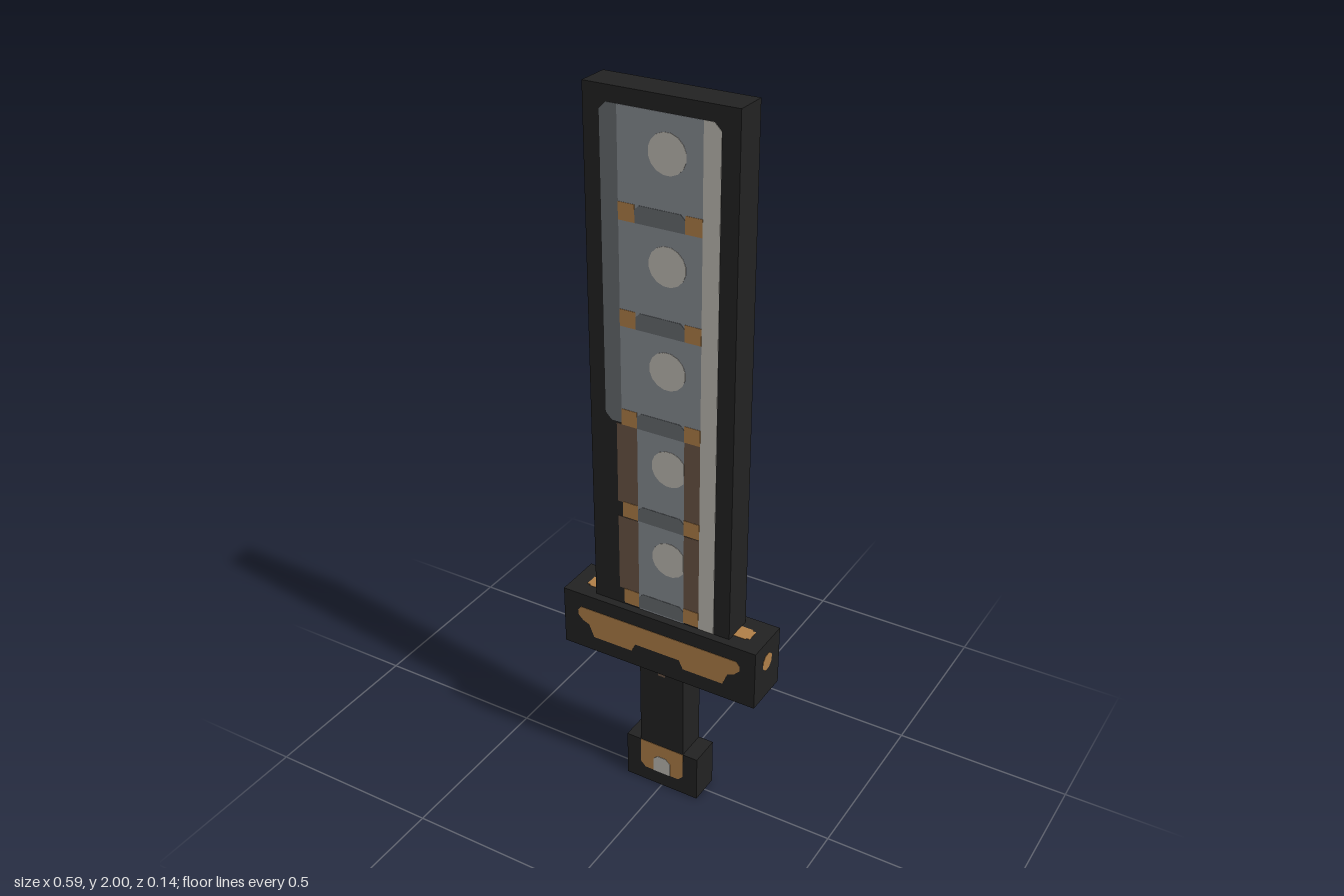
import * as THREE from 'three';

const material = (name, color) => {
  const m = new THREE.MeshStandardMaterial({ color });
  m.name = name;
  return m;
};

export function createModel() {
  const black = material('black', 0x222222);
  const gold = material('gold', 0xb07f48);
  const brown = material('brown', 0x6b5545);
  const steel = material('steel', 0x888d93);
  const darkSteel = material('darkSteel', 0x666b6e);
  const pale = material('pale', 0xbfbcb3);

  const model = new THREE.Group();
  model.name = 'sword';
  const BLADE = 0.045, GUARD = 0.068; // half thicknesses

  const add = (parent, name, geometry, mat, x = 0, y = 0, z = 0) => {
    const mesh = new THREE.Mesh(geometry, mat);
    mesh.name = name;
    mesh.position.set(x, y, z);
    parent.add(mesh);
    return mesh;
  };
  const block = (name, halfX, y0, y1, halfZ) =>
    add(model, name, new THREE.BoxGeometry(halfX * 2, y1 - y0, halfZ * 2), black, 0, (y0 + y1) / 2);

  // Thin inlay on both broad faces; a higher layer lies on top of a lower one
  const inlay = (name, points, mat, halfZ, layer = 1) => {
    const shape = new THREE.Shape(points.map(([x, y]) => new THREE.Vector2(x, y)));
    const depth = 0.001 * layer;
    const geometry = new THREE.ExtrudeGeometry(shape, { depth, bevelEnabled: false });
    add(model, name + 'Front', geometry, mat, 0, 0, halfZ);
    add(model, name + 'Back', geometry, mat, 0, 0, -halfZ - depth);
  };
  // Rectangle with optional corner cuts: bottom left, bottom right, top right, top left
  const rect = (x0, x1, y0, y1, bl = 0, br = 0, tr = 0, tl = 0) => [
    [x0, y0 + bl], [x0 + bl, y0], [x1 - br, y0], [x1, y0 + br],
    [x1, y1 - tr], [x1 - tr, y1], [x0 + tl, y1], [x0, y1 - tl],
  ].filter((p, i, a) => i === 0 || p[0] !== a[i - 1][0] || p[1] !== a[i - 1][1])
    .filter((p, i, a) => i === 0 || p[0] !== a[0][0] || p[1] !== a[0][1]);

  // Dark body
  block('blade', 0.205, 0.59, 2, BLADE);
  block('guard', 0.295, 0.415, 0.59, GUARD);
  block('grip', 0.068, 0.14, 0.415, BLADE);
  block('pommel', 0.113, 0, 0.14, BLADE);

  // Long panels of the blade
  inlay('spineStrip', rect(-0.16, -0.113, 1.145, 1.96, 0.018, 0, 0, 0.018), darkSteel, BLADE);
  inlay('edgeStrip', rect(0.113, 0.158, 0.59, 1.96, 0, 0, 0.018, 0), pale, BLADE);
  inlay('upperPanel', rect(-0.113, 0.113, 1.16, 1.96), steel, BLADE);
  inlay('lowerPanel', rect(-0.068, 0.068, 0.59, 1.16), steel, BLADE);
  for (const y of [0.64, 0.91]) {
    const top = y === 0.64 ? 0.865 : 1.14;
    inlay('brownStripRight', rect(-0.128, -0.068, y, top), brown, BLADE);
    inlay('brownStripLeft', rect(0.068, 0.113, y, top), brown, BLADE);
  }

  // Five repeated cells: crossband, gold studs and a pale dot
  for (let i = 0; i < 5; i++) {
    const y = 0.595 + i * 0.2725;
    inlay('crossband', rect(-0.068, 0.068, y, y + 0.045, 0, 0, 0.012, 0.012), darkSteel, BLADE, 2);
    inlay('studRight', rect(-0.113, -0.068, y, y + 0.045), gold, BLADE, 2);
    inlay('studLeft', rect(0.068, 0.113, y, y + 0.045), gold, BLADE, 2);
    const cx = i < 2 ? 0.025 : 0.02, limit = i < 2 ? 0.067 : 1;
    const dot = Array.from({ length: 16 }, (_, k) => {
      const a = (k + 0.5) / 16 * Math.PI * 2;
      return [Math.min(limit, cx + 0.051 * Math.cos(a)), y + 0.181 + 0.051 * Math.sin(a)];
    });
    inlay('dot', dot, pale, BLADE, 2);
  }

  // Guard ornament, mirrored about the centre
  const half = [
    [0.068, 0.485], [0.08, 0.46], [0.2, 0.46], [0.215, 0.497],
    [0.235, 0.505], [0.25, 0.52], [0.25, 0.535], [0.24, 0.547],
  ];
  const mirrored = half.map(([x, y]) => [-x, y]).reverse();
  inlay('guardOrnament', [...half, ...mirrored], gold, GUARD);
  for (const s of [-1, 1]) {
    const side = s < 0 ? 'Right' : 'Left';
    add(model, 'guardTopInlay' + side, new THREE.BoxGeometry(0.036, 0.002, 0.046), gold, s * 0.223, 0.59);
    add(model, 'guardTopTip' + side, new THREE.BoxGeometry(0.01, 0.002, 0.036), gold, s * 0.246, 0.59);
    const disc = new THREE.CylinderGeometry(0.026, 0.026, 0.002, 8);
    disc.rotateY(Math.PI / 8).rotateZ(Math.PI / 2);
    add(model, 'guardEndStud' + side, disc, gold, s * 0.295, 0.525);
  }

  // Grip pin and pommel ornament
  inlay('gripPin', rect(-0.011, 0.011, 0.388, 0.408), brown, BLADE);
  inlay('pommelOrnament', rect(-0.068, 0.068, 0.045, 0.14, 0.015, 0.015), gold, BLADE);
  inlay('pommelGem', rect(-0.027, 0.027, 0.045, 0.1, 0, 0, 0.014, 0.014), pale, BLADE, 2);

  return model;
}
